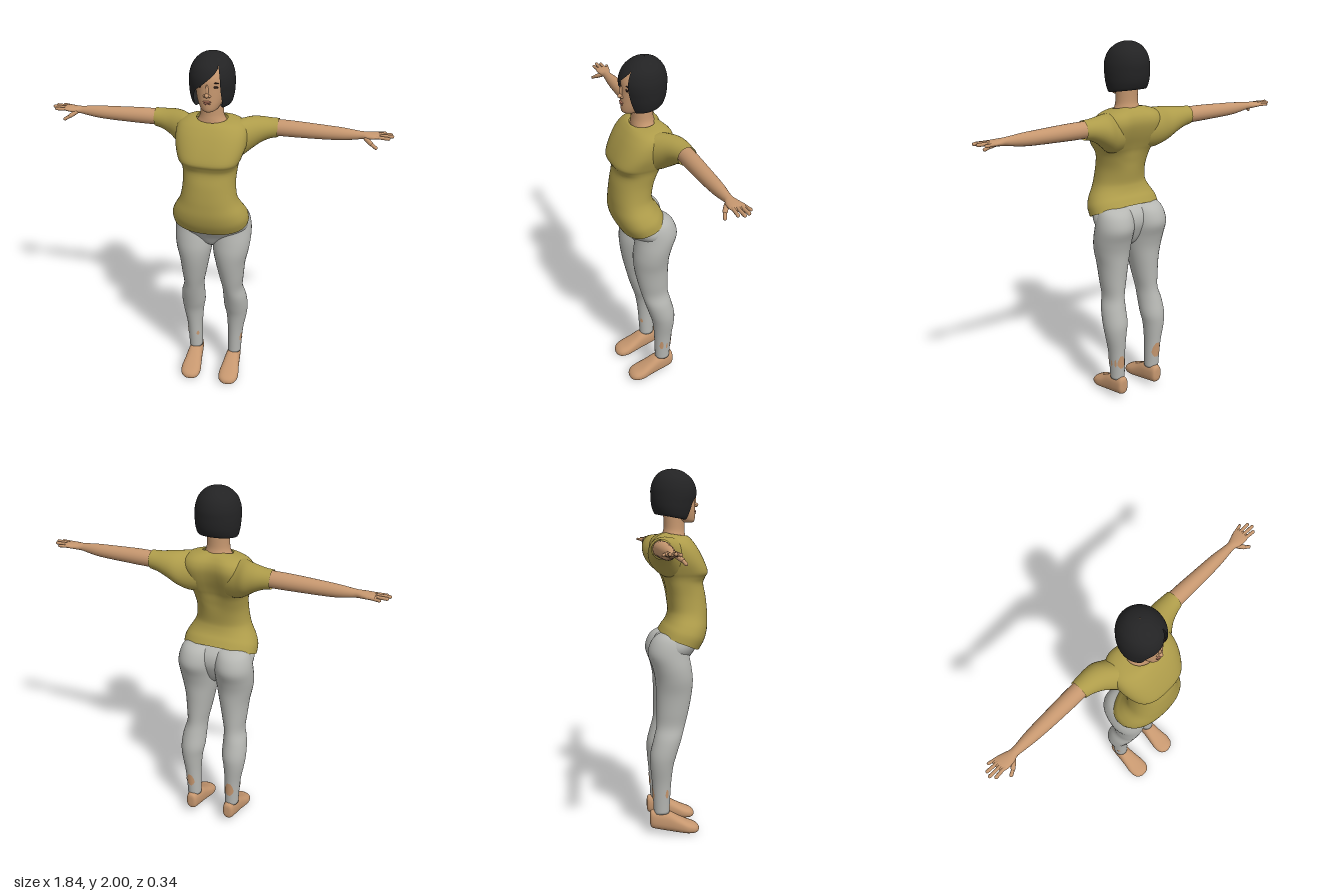
import * as THREE from 'three';
import { mergeGeometries } from 'three/addons/utils/BufferGeometryUtils.js';

const mat = (name, color, side = THREE.FrontSide) => {
  const m = new THREE.MeshStandardMaterial({ color, side });
  m.name = name;
  return m;
};

// Catmull-Rom blend of the rows of a section table at u in 0..1
function sample(rows, u) {
  const n = rows.length - 1, k = Math.min(n - 1, Math.floor(u * n)), t = u * n - k;
  const at = (i) => rows[Math.max(0, Math.min(n, i))];
  return rows[k].map((_, c) => {
    const a = at(k - 1)[c], b = at(k)[c], d = at(k + 1)[c], e = at(k + 2)[c];
    return b + 0.5 * t * (d - a + t * (2 * a - 5 * b + 4 * d - e + t * (3 * (b - d) + e - a)));
  });
}

// Skin over sections [position, centre, radius, front, back, power, tilt, gapFrom, gapTo].
// The last four are optional. axis picks the world direction of the sweep.
function loft(rows, { axis = 'y', cap = true, seg = 32, steps = 4, warp } = {}) {
  const open = rows[0].length > 7, cols = open ? seg + 1 : seg;
  const total = (rows.length - 1) * steps, pos = [], idx = [];
  const put = (x, y, z) => {
    const v = axis === 'x' ? [y, z, x] : axis === 'z' ? [z, x, y] : [x, y, z];
    if (warp) warp(v);
    pos.push(...v);
  };
  for (let i = 0; i <= total; i++) {
    const [s, c, r, f, b, p = 1, tilt = 0, g0 = 0, g1 = 0] = sample(rows, i / total);
    for (let j = 0; j < cols; j++) {
      const a = g1 + (Math.PI * 2 + g0 - g1) * j / seg, sn = Math.sin(a), cs = Math.cos(a);
      put(c + r * Math.sign(sn) * Math.abs(sn) ** p, s + tilt * (1 - cs) / 2,
        (f + b) / 2 + (f - b) / 2 * Math.sign(cs) * Math.abs(cs) ** p);
    }
  }
  for (let i = 0; i < total; i++) for (let j = 0; j < seg; j++) {
    const a = i * cols + j, b = i * cols + (j + 1) % cols;
    idx.push(a, b, a + cols, b, b + cols, a + cols);
  }
  if (cap && !open) [0, total].forEach((i) => {
    const [s, c, , f, b, , tilt = 0] = sample(rows, i / total), m = pos.length / 3;
    put(c, s + tilt / 2, (f + b) / 2);
    for (let j = 0; j < seg; j++) {
      const a = i * cols + j, d = i * cols + (j + 1) % cols;
      idx.push(...(i ? [a, d, m] : [d, a, m]));
    }
  });
  const g = new THREE.BufferGeometry();
  g.setAttribute('position', new THREE.Float32BufferAttribute(pos, 3));
  g.setIndex(idx);
  g.computeVertexNormals();
  return g;
}

function mirrored(geo) {
  const g = geo.clone().scale(-1, 1, 1), a = g.index.array;
  for (let i = 0; i < a.length; i += 3) [a[i], a[i + 1]] = [a[i + 1], a[i]];
  return g;
}

// Rounded rod from a to b
function finger(a, b, r) {
  const p = new THREE.Vector3(...a), q = new THREE.Vector3(...b), d = q.clone().sub(p);
  const g = new THREE.CapsuleGeometry(r, d.length() - r, 4, 8);
  g.applyQuaternion(new THREE.Quaternion().setFromUnitVectors(new THREE.Vector3(0, 1, 0), d.clone().normalize()));
  return g.translate(...p.add(q).multiplyScalar(0.5).toArray());
}

const blob = (sx, sy, sz, x, y, z) => new THREE.SphereGeometry(1, 16, 10).scale(sx, sy, sz).translate(x, y, z);

export function createModel() {
  const root = new THREE.Group();
  const skin = mat('skin', 0xc6976f), patchSkin = mat('ankleSkin', 0xc6976f, THREE.DoubleSide);
  const shirt = mat('shirtOlive', 0xae9c4a, THREE.DoubleSide), pants = mat('pantsGrey', 0xb6b7b3);
  const hair = mat('hairBlack', 0x232324, THREE.DoubleSide);
  const dark = mat('eyeDark', 0x2c1d18), lip = mat('lips', 0xa86f58);
  const add = (name, geo, m) => {
    const mesh = new THREE.Mesh(geo, m);
    mesh.name = name;
    root.add(mesh);
  };
  const pair = (name, geo, m) => {
    add('left' + name, geo, m);
    add('right' + name, mirrored(geo), m);
  };

  // Shirt body, hem higher at the back, with a hollow along the spine
  add('shirtBody', loft([
    [1.035, 0, .208, .122, -.098, .85, .105], [1.09, 0, .206, .152, -.08, .85, .08],
    [1.15, 0, .188, .168, -.062, .88, .045], [1.21, 0, .162, .17, -.05, .9, .015],
    [1.26, 0, .148, .168, -.046, .9, 0], [1.33, 0, .141, .16, -.06, .9, 0],
    [1.395, 0, .145, .147, -.082, .85, 0], [1.43, 0, .152, .157, -.094, .75, 0],
    [1.46, 0, .165, .169, -.108, .7, 0], [1.52, 0, .185, .148, -.135, .75, 0],
    [1.58, 0, .19, .117, -.152, .78, 0], [1.62, 0, .178, .09, -.148, .85, 0],
    [1.64, 0, .145, .072, -.13, .9, .006], [1.648, 0, .11, .062, -.11, 1, .012],
    [1.648, 0, .082, .054, -.085, 1, .02],
  ], {
    cap: false, seg: 48, warp: (v) => {
      const k = THREE.MathUtils.smoothstep(v[1], 1.25, 1.5) * Math.exp(-((v[0] / .07) ** 2));
      if (v[2] < -.03) v[2] += .03 * k * Math.min(1, (-.03 - v[2]) / .04);
    },
  }), shirt);
  pair('Sleeve', loft([
    [.08, -.03, .09, 1.635, 1.43], [.14, -.045, .1, 1.645, 1.437], [.19, -.078, .088, 1.65, 1.47],
    [.24, -.097, .07, 1.648, 1.507], [.29, -.105, .057, 1.643, 1.533], [.333, -.108, .05, 1.642, 1.543],
  ], { axis: 'x', cap: false }), shirt);

  // Trousers: two legs that merge in a pelvis
  const legRows = [
    [.125, .12, .04, -.05, -.136], [.2, .122, .042, -.046, -.14], [.3, .126, .047, -.04, -.146],
    [.4, .131, .06, -.028, -.155], [.47, .128, .069, -.008, -.155], [.55, .124, .066, .017, -.136],
    [.62, .114, .058, .036, -.12], [.7, .109, .069, .056, -.118], [.8, .104, .084, .075, -.12],
    [.88, .105, .1, .081, -.124], [.95, .107, .107, .073, -.14], [1.02, .107, .106, .06, -.163],
    [1.08, .103, .099, .055, -.15], [1.12, .098, .083, .04, -.118], [1.145, .09, .05, .01, -.06],
  ];
  pair('TrouserLeg', loft(legRows), pants);
  add('trouserPelvis', loft([
    [.905, 0, .02, .01, -.06], [.93, 0, .06, .04, -.085], [.98, 0, .15, .066, -.11],
    [1.04, 0, .2, .105, -.128], [1.1, 0, .195, .13, -.115], [1.155, 0, .16, .13, -.06],
  ]), pants);

  // Bare patches on the lower legs: [side, angle, half width, bottom, top]
  [[1, 3.1, .55, .2, .28], [1, 1.1, .25, .21, .27], [1, 1.75, .12, .21, .25], [1, 2.3, .12, .21, .26],
    [-1, 3.2, .65, .2, .29], [-1, 1, .2, .22, .27], [-1, 5.7, .2, .22, .25]].forEach(([side, a, w, y0, y1]) => {
    const rows = [0, .3, .7, 1].map((t, i) => {
      const y = y0 + (y1 - y0) * t, k = w * [.35, 1, .8, .3][i];
      const [, c, r, f, b] = sample(legRows, (y < .2 ? (y - .125) / .075 : 1 + (y - .2) / .1) / (legRows.length - 1));
      return [y, c, r + .002, f + .002, b - .002, 1, 0, a + k - Math.PI * 2, a - k];
    });
    const g = loft(rows, { seg: 10 });
    add('anklePatch', side > 0 ? g : mirrored(g), patchSkin);
  });

  // Slip-on shoes
  pair('Shoe', loft([
    [-.158, .092, .025, .13, .105, .8], [-.148, .09, .05, .148, .088, .8], [-.1, .083, .056, .157, .078, .8],
    [-.05, .073, .056, .162, .072, .8], [0, .054, .046, .168, .065, .8], [.05, .038, .036, .175, .058, .8],
    [.09, .03, .028, .167, .064, .85], [.11, .026, .018, .147, .083, .9], [.117, .025, .007, .128, .1, 1],
  ], { axis: 'z' }), skin);

  // Arms and hands
  pair('Arm', loft([
    [.3, -.108, .044, 1.636, 1.55], [.4, -.107, .043, 1.636, 1.55], [.5, -.106, .04, 1.632, 1.552],
    [.58, -.106, .037, 1.628, 1.554], [.66, -.106, .032, 1.624, 1.558], [.73, -.105, .024, 1.617, 1.568],
    [.76, -.105, .023, 1.614, 1.574], [.79, -.105, .033, 1.612, 1.577], [.83, -.109, .041, 1.61, 1.583],
    [.855, -.112, .036, 1.606, 1.587], [.864, -.112, .024, 1.602, 1.591],
  ], { axis: 'x', seg: 24 }), skin);
  pair('Fingers', mergeGeometries([
    finger([.83, 1.598, -.083], [.9, 1.597, -.077], .009), finger([.83, 1.6, -.102], [.918, 1.602, -.1], .009),
    finger([.83, 1.6, -.122], [.91, 1.601, -.126], .009), finger([.82, 1.597, -.139], [.88, 1.597, -.152], .008),
    finger([.78, 1.588, -.085], [.815, 1.568, -.058], .012), finger([.81, 1.57, -.06], [.842, 1.552, -.046], .009),
  ]), skin);

  // Neck, head and face
  add('neck', loft([
    [1.59, 0, .085, .045, -.08], [1.635, 0, .082, .05, -.08], [1.665, 0, .066, .048, -.072],
    [1.7, 0, .06, .046, -.066], [1.79, 0, .06, .05, -.07],
  ]), skin);
  add('head', loft([
    [1.718, 0, .022, .088, .03], [1.728, 0, .042, .1, -.01], [1.755, 0, .06, .104, -.06],
    [1.79, 0, .073, .103, -.09], [1.84, 0, .081, .101, -.11], [1.89, 0, .083, .097, -.112],
    [1.94, 0, .062, .07, -.09], [1.96, 0, .02, .03, -.04],
  ]), skin);
  add('nose', mergeGeometries([
    blob(.011, .012, .016, 0, 1.812, .106), blob(.008, .032, .01, 0, 1.835, .1),
    blob(.008, .007, .009, .012, 1.808, .1), blob(.008, .007, .009, -.012, 1.808, .1),
  ]), skin);
  add('lips', mergeGeometries([blob(.022, .006, .007, 0, 1.778, .102), blob(.018, .006, .007, 0, 1.769, .102)]), lip);
  pair('Eye', blob(.016, .006, .004, .037, 1.852, .089).rotateY(.02), dark);
  pair('Brow', blob(.02, .003, .004, .038, 1.873, .087), dark);

  // Bob haircut, open over the face with a fringe swept to one side
  add('hair', loft([
    [1.738, 0, .07, .045, -.08, 1, .03, -.85, .8], [1.732, 0, .1, .075, -.11, 1, .03, -.8, .75],
    [1.78, 0, .113, .095, -.127, 1, .012, -.72, .66], [1.825, 0, .117, .104, -.134, 1, 0, -.6, .6],
    [1.86, 0, .118, .11, -.136, 1, 0, -.25, .58], [1.9, 0, .114, .108, -.135, 1, 0, .14, .57],
    [1.945, 0, .098, .088, -.12, 1, 0, .53, .56], [1.98, 0, .066, .048, -.09, 1, 0, .56, .56],
    [1.996, 0, .032, .01, -.054, 1, 0, .56, .56], [2, 0, .002, -.02, -.024, 1, 0, .56, .56],
  ], { seg: 48 }), hair);

  return root;
}
